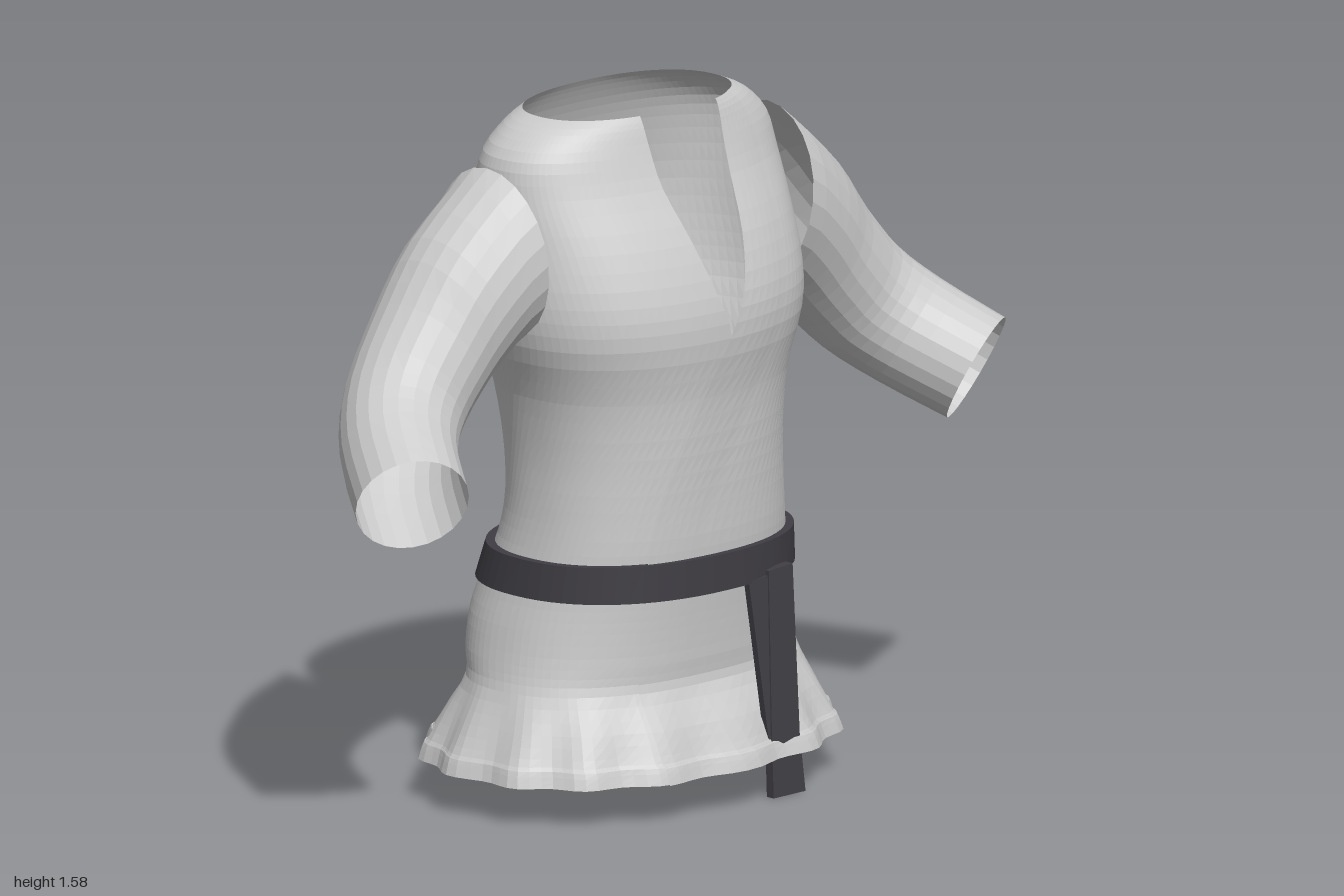
import * as THREE from 'three';

const POWER = 2.25; // roundness of the body cross-section

// Smooth interpolation through rows of numbers, t from 0 to 1
function spline(rows, t) {
  const f = t * (rows.length - 1);
  const i = Math.min(Math.floor(f), rows.length - 2), s = f - i;
  const at = k => rows[Math.max(0, Math.min(rows.length - 1, k))];
  const [a, b, c, d] = [at(i - 1), at(i), at(i + 1), at(i + 2)];
  return b.map((p, k) => p + 0.5 * s * (c[k] - a[k] + s * (2 * a[k] - 5 * p + 4 * c[k] - d[k]
    + s * (3 * (p - c[k]) + d[k] - a[k]))));
}

// Point on a rounded-box ring; angle 0 is the front, growing toward +x
function ringPoint(y, halfWidth, front, back, angle, lift = 0) {
  const bend = v => Math.sign(v) * Math.pow(Math.abs(v), 2 / POWER);
  return new THREE.Vector3(
    (halfWidth + lift) * bend(Math.sin(angle)), y,
    (front + back) / 2 + ((front - back) / 2 + lift) * bend(Math.cos(angle)));
}

// Faceted surface through a grid of points
function surface(grid) {
  const cols = grid[0].length, index = [];
  for (let r = 0; r < grid.length - 1; r++) {
    for (let c = 0; c < cols - 1; c++) {
      const a = r * cols + c, b = a + 1, d = a + cols, e = d + 1;
      index.push(a, b, e, a, e, d);
    }
  }
  const indexed = new THREE.BufferGeometry().setFromPoints(grid.flat());
  indexed.setIndex(index);
  const geometry = indexed.toNonIndexed();
  geometry.computeVertexNormals();
  return geometry;
}

// Jacket body: height, half width, front z, back z, right lapel x, left lapel x
const BODY = [
  [0.09, 0.515, 0.376, -0.376, -0.21, -0.225],
  [0.127, 0.503, 0.364, -0.364, -0.21, -0.225],
  [0.135, 0.495, 0.355, -0.355, -0.21, -0.225],
  [0.20, 0.462, 0.325, -0.32, -0.208, -0.223],
  [0.28, 0.425, 0.28, -0.272, -0.205, -0.22],
  [0.34, 0.408, 0.28, -0.292, -0.203, -0.218],
  [0.42, 0.39, 0.285, -0.295, -0.20, -0.215],
  [0.50, 0.37, 0.292, -0.272, -0.195, -0.21],
  [0.60, 0.35, 0.30, -0.228, -0.185, -0.20],
  [0.70, 0.338, 0.302, -0.212, -0.16, -0.175],
  [0.82, 0.335, 0.306, -0.225, -0.115, -0.13],
  [0.95, 0.352, 0.312, -0.247, -0.06, -0.075],
  [1.08, 0.395, 0.328, -0.263, -0.004, -0.012],
  [1.18, 0.408, 0.318, -0.27, -0.035, 0.04],
  [1.30, 0.408, 0.275, -0.268, -0.07, 0.078],
  [1.42, 0.405, 0.212, -0.24, -0.10, 0.103],
  [1.50, 0.388, 0.18, -0.215, -0.107, 0.112],
  [1.555, 0.33, 0.163, -0.19, -0.11, 0.118],
  [1.58, 0.275, 0.153, -0.175, -0.11, 0.12],
];

function bodyGeometry() {
  const rows = (BODY.length - 1) * 3, cols = 96, grid = [];
  for (let r = 0; r <= rows; r++) {
    const [y, width, front, back, right, left] = spline(BODY, r / rows);
    const angleAt = x => Math.asin(Math.sign(x) * Math.pow(Math.abs(x / width), POWER / 2));
    const start = angleAt(left), end = angleAt(right) + 2 * Math.PI;
    const wave = 0.011 * THREE.MathUtils.clamp((0.28 - y) / 0.17, 0, 1);
    const line = [];
    for (let c = 0; c <= cols; c++) {
      const angle = start + (end - start) * c / cols;
      const overlap = 0.007 * Math.max(0, 1 - c / 6); // left panel lies over the right
      line.push(ringPoint(y, width, front, back, angle, overlap + wave * Math.cos(15 * angle)));
    }
    grid.push(line);
  }
  return surface(grid);
}

// Sleeve: centre x y z, upper-edge offset x y, depth radius
const SLEEVE = [
  [0.415, 1.29, -0.01, 0.025, 0.20, 0.172],
  [0.53, 1.195, -0.02, 0.07, 0.158, 0.165],
  [0.62, 1.095, -0.018, 0.085, 0.125, 0.152],
  [0.715, 0.99, 0.005, 0.095, 0.105, 0.14],
  [0.80, 0.91, 0.075, 0.094, 0.098, 0.132],
  [0.885, 0.83, 0.205, 0.092, 0.092, 0.13],
];

function sleeveGeometry() {
  const rows = 15, cols = 24, grid = [];
  const centre = t => new THREE.Vector3(...spline(SLEEVE, t).slice(0, 3));
  for (let r = 0; r <= rows; r++) {
    const t = r / rows, s = spline(SLEEVE, t), line = [];
    const along = centre(Math.min(1, t + 0.04)).sub(centre(Math.max(0, t - 0.04)));
    const up = new THREE.Vector3(s[3], s[4], 0);
    const side = along.cross(up).normalize().multiplyScalar(s[5]);
    if (r === 0) side.set(0, 0, s[5]); // armhole stays upright
    for (let c = 0; c <= cols; c++) {
      const a = 2 * Math.PI * c / cols;
      line.push(centre(t).addScaledVector(up, Math.cos(a)).addScaledVector(side, Math.sin(a)));
    }
    grid.push(line);
  }
  return surface(grid);
}

function beltGeometry() {
  // Closed strip section: height, half width, front z, back z
  const section = [
    [0.495, 0.35, 0.285, -0.255],
    [0.495, 0.383, 0.318, -0.288],
    [0.58, 0.374, 0.316, -0.256],
    [0.58, 0.345, 0.285, -0.226],
    [0.495, 0.35, 0.285, -0.255],
  ];
  return surface(section.map(s =>
    Array.from({ length: 65 }, (_, c) => ringPoint(...s, 2 * Math.PI * c / 64))));
}

// Hanging strip leaning forward toward its lower end
function tailGeometry(outline, depth, z) {
  const shape = new THREE.Shape(outline.map(p => new THREE.Vector2(...p)));
  const geometry = new THREE.ExtrudeGeometry(shape, { depth, bevelEnabled: false });
  const p = geometry.attributes.position;
  for (let i = 0; i < p.count; i++) p.setZ(i, p.getZ(i) + z - 0.08 * p.getY(i));
  geometry.computeVertexNormals();
  return geometry;
}

export function createModel() {
  const cloth = new THREE.MeshStandardMaterial({ color: 0xcccccc, side: THREE.DoubleSide });
  cloth.name = 'light cloth';
  const dark = new THREE.MeshStandardMaterial({ color: 0x403e44 });
  dark.name = 'dark belt cloth';

  const model = new THREE.Group();
  model.name = 'wrapJacket';
  const add = (name, geometry, material) => {
    const mesh = new THREE.Mesh(geometry, material);
    mesh.name = name;
    model.add(mesh);
    return mesh;
  };

  add('jacketBody', bodyGeometry(), cloth);

  // Mirrored sleeves
  const sleeve = sleeveGeometry();
  add('leftSleeve', sleeve, cloth);
  add('rightSleeve', sleeve, cloth).scale.x = -1;

  // Belt and its two hanging ends
  add('belt', beltGeometry(), dark);
  add('beltEndLong', tailGeometry(
    [[0.125, 0.515], [0.105, 0.13], [0.10, 0], [0.20, 0], [0.192, 0.13], [0.20, 0.52]], 0.022, 0.336), dark);
  add('beltEndShort', tailGeometry(
    [[0.065, 0.50], [0.10, 0.12], [0.15, 0.12], [0.14, 0.505]], 0.016, 0.338), dark);

  return model;
}
